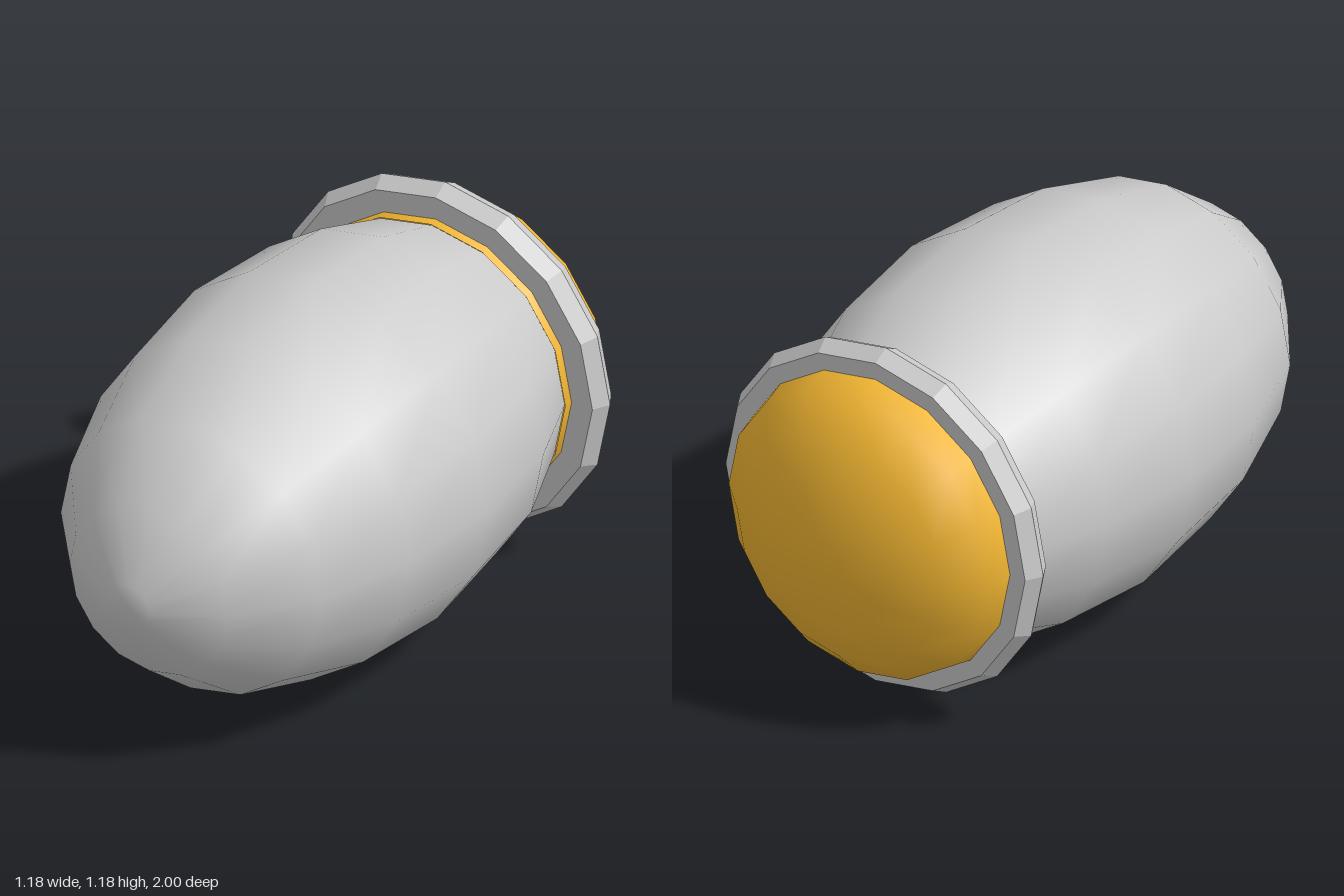
import * as THREE from 'three';

const SIDES = 16;
const AXIS_HEIGHT = 0.588;

// Revolve [radius, z] pairs, listed back to front, around the long axis
function turned(name, profile, options = {}) {
  const points = profile.map(([r, z]) => new THREE.Vector2(r, z));
  const geometry = new THREE.LatheGeometry(points, SIDES);
  geometry.rotateX(Math.PI / 2);
  const material = new THREE.MeshStandardMaterial({ color: 0xcccccc, side: THREE.DoubleSide, ...options });
  const mesh = new THREE.Mesh(geometry, material);
  mesh.name = name;
  return mesh;
}

export function createModel() {
  const model = new THREE.Group();
  model.name = 'capsule';

  const parts = new THREE.Group();
  parts.name = 'capsuleParts';
  parts.position.y = AXIS_HEIGHT;
  model.add(parts);

  // Long rounded body with a small flat nose
  parts.add(turned('body', [
    [0.455, -0.61], [0.55, -0.35], [0.588, 0.005], [0.55, 0.36],
    [0.445, 0.67], [0.272, 0.89], [0.072, 1], [0, 1],
  ]));

  // Coloured rear dome, running forward through the collar
  parts.add(turned('rearDome', [
    [0, -1], [0.072, -1], [0.23, -0.97], [0.367, -0.905],
    [0.463, -0.815], [0.485, -0.72], [0.46, -0.605],
  ], { color: 0xf2b632 }));

  // Bevelled collar ring
  parts.add(turned('collar', [
    [0.45, -0.73], [0.537, -0.73], [0.565, -0.68], [0.537, -0.63], [0.45, -0.63],
  ], { flatShading: true }));

  return model;
}
